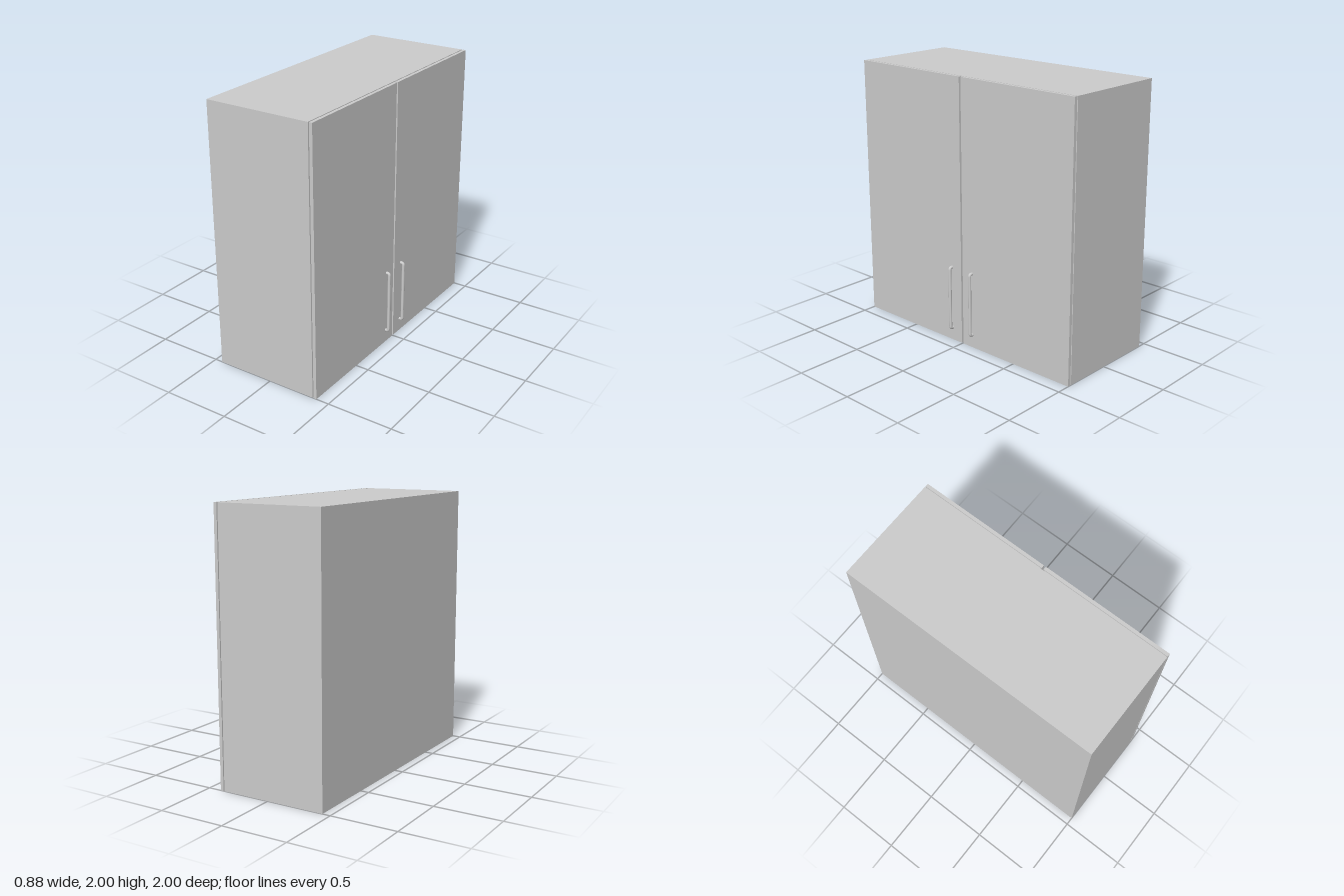
import * as THREE from 'three';

const material = new THREE.MeshStandardMaterial({ color: 0xcccccc });

// Box given by its lower and upper corners
function box(name, [x0, y0, z0], [x1, y1, z1]) {
  const mesh = new THREE.Mesh(new THREE.BoxGeometry(x1 - x0, y1 - y0, z1 - z0), material);
  mesh.position.set((x0 + x1) / 2, (y0 + y1) / 2, (z0 + z1) / 2);
  mesh.name = name;
  return mesh;
}

// Round bar bent into a bracket, with its feet on the door face
function handle(z) {
  const xDoor = 0.398, xBar = 0.424, low = 0.1, high = 0.58, bend = 0.016;
  const p = (x, y) => new THREE.Vector3(x, y, z);
  const path = new THREE.CurvePath();
  path.add(new THREE.LineCurve3(p(xDoor, low), p(xBar - bend, low)));
  path.add(new THREE.QuadraticBezierCurve3(p(xBar - bend, low), p(xBar, low), p(xBar, low + bend)));
  path.add(new THREE.LineCurve3(p(xBar, low + bend), p(xBar, high - bend)));
  path.add(new THREE.QuadraticBezierCurve3(p(xBar, high - bend), p(xBar, high), p(xBar - bend, high)));
  path.add(new THREE.LineCurve3(p(xBar - bend, high), p(xDoor, high)));
  const mesh = new THREE.Mesh(new THREE.TubeGeometry(path, 200, 0.0115, 16), material);
  mesh.name = 'handle';
  return mesh;
}

export function createModel() {
  const cabinet = new THREE.Group();
  cabinet.name = 'wallCabinet';

  // Hollow carcass, open towards the doors
  const back = -0.44, front = 0.368, t = 0.018;
  const carcass = new THREE.Group();
  carcass.name = 'carcass';
  carcass.add(
    box('backPanel', [back, t, -1 + t], [back + t, 2 - t, 1 - t]),
    box('bottomPanel', [back, 0, -1 + t], [front, t, 1 - t]),
    box('topPanel', [back, 2 - t, -1 + t], [front, 2, 1 - t]),
    box('sidePanel', [back, 0, -1], [front, 2, -1 + t]),
    box('sidePanel', [back, 0, 1 - t], [front, 2, 1])
  );
  cabinet.add(carcass);

  // Two doors, each with an inset spacer behind it and a handle near the middle
  const gap = 0.008, inset = 0.012;
  for (const side of [-1, 1]) {
    const [z0, z1] = side > 0 ? [gap, 1] : [-1, -gap];
    const door = new THREE.Group();
    door.name = side > 0 ? 'frontDoor' : 'rearDoor';
    door.add(
      box('doorPanel', [0.376, 0, z0], [0.4, 2, z1]),
      box('doorSpacer', [front, inset, z0 + inset], [0.376, 2 - inset, z1 - inset]),
      handle(side * 0.1)
    );
    cabinet.add(door);
  }
  return cabinet;
}
